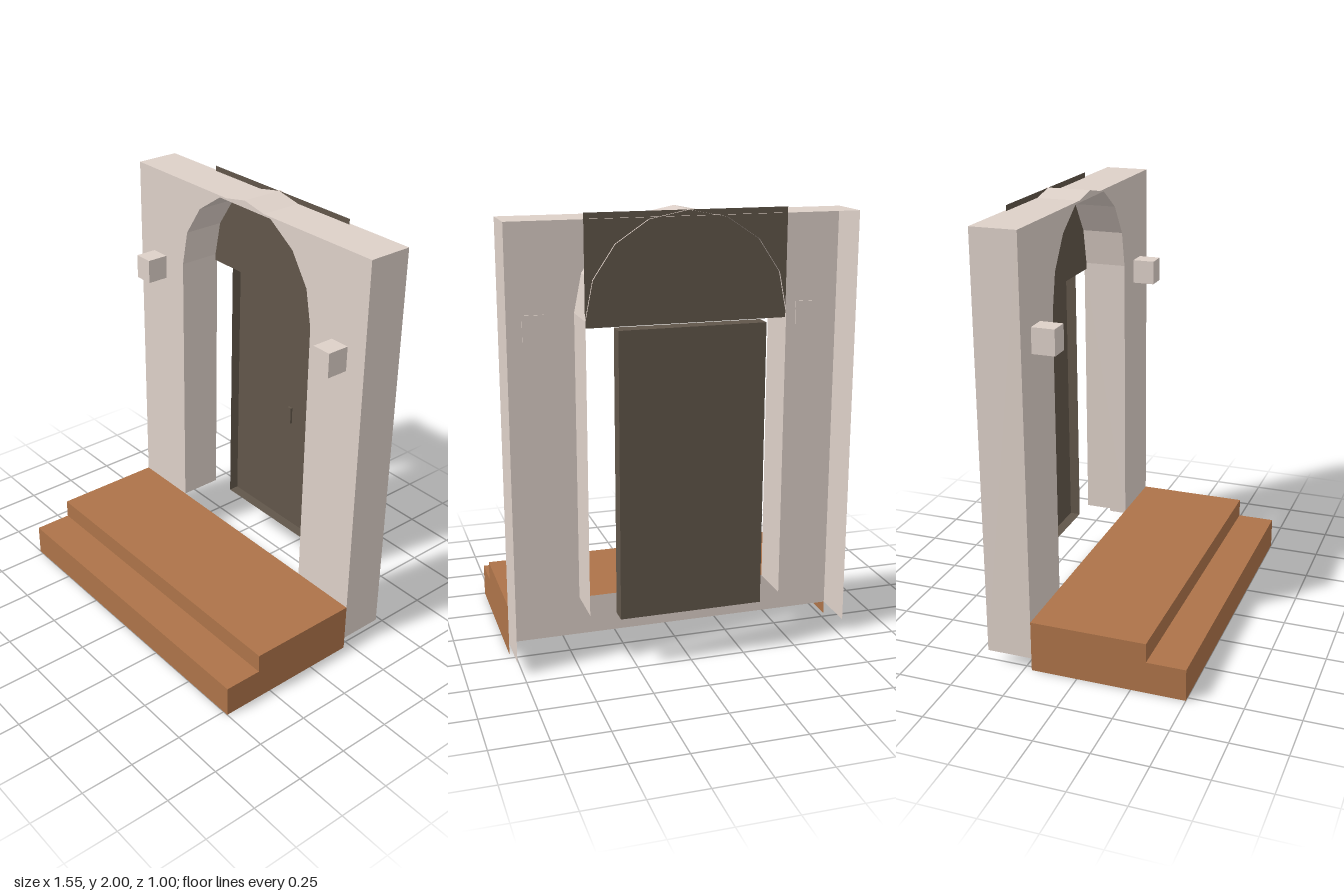
import * as THREE from 'three';

const material = (color) => new THREE.MeshStandardMaterial({ color, side: THREE.DoubleSide, flatShading: true });

// Open sheet running between two matching rows of points
function ruled(a, b) {
  const pos = [];
  for (let i = 0; i < a.length - 1; i++) {
    for (const p of [a[i], b[i], b[i + 1], a[i], b[i + 1], a[i + 1]]) pos.push(...p);
  }
  const geo = new THREE.BufferGeometry();
  geo.setAttribute('position', new THREE.Float32BufferAttribute(pos, 3));
  geo.computeVertexNormals();
  return geo;
}

// Sheet made by pushing an xy outline from z0 to z1
const alongZ = (pts, z0, z1) => ruled(pts.map(([x, y]) => [x, y, z0]), pts.map(([x, y]) => [x, y, z1]));

const toShape = (pts) => new THREE.Shape(pts.map(([x, y]) => new THREE.Vector2(x, y)));

export function createModel() {
  const model = new THREE.Group();
  const stone = material(0xddd0c8);
  const brick = material(0xad7349);
  const wood = material(0x61564a);

  const add = (parent, name, geo, mat, x = 0, y = 0, z = 0) => {
    const mesh = new THREE.Mesh(geo, mat);
    mesh.name = name;
    mesh.position.set(x, y, z);
    parent.add(mesh);
    return mesh;
  };
  const group = (name) => {
    const g = new THREE.Group();
    g.name = name;
    model.add(g);
    return g;
  };

  const W = 0.775, FRONT = -0.215, BACK = -0.425;
  const BASE = 0.06, TOP = 1.975, FLOOR = 0.24;

  // Arched opening: straight jambs and an eight-sided half circle
  const R = 0.445, SPRING = 1.555;
  const opening = [[R, FLOOR]];
  for (let i = 0; i <= 8; i++) {
    const a = (i * Math.PI) / 8;
    opening.push([R * Math.cos(a), SPRING + R * Math.sin(a)]);
  }
  opening.push([-R, FLOOR]);

  // Wall: front face with the opening, folded sides and top, open at the back
  const wall = group('wall');
  const face = toShape([[-W, BASE], [W, BASE], [W, TOP], [-W, TOP]]);
  const crown = opening.slice(4, 7);
  face.holes.push(new THREE.Path(opening.filter((p) => p !== crown[1]).map(([x, y]) => new THREE.Vector2(x, y))));
  add(wall, 'wallFace', new THREE.ShapeGeometry(face), stone, 0, 0, FRONT);
  add(wall, 'archCrown', new THREE.ShapeGeometry(toShape(crown)), stone, 0, 0, FRONT);
  add(wall, 'wallReturn', alongZ([[W, BASE], [W, TOP], [-W, TOP], [-W, BASE]], FRONT, BACK), stone);
  add(wall, 'archReveal', alongZ(opening, FRONT, BACK), stone);

  // Wall lamps
  for (const s of [1, -1]) {
    add(model, s > 0 ? 'leftLamp' : 'rightLamp', new THREE.BoxGeometry(0.095, 0.115, 0.11), stone, s * 0.625, 1.4975, -0.165);
  }

  // Panel filling the arch above the door
  add(model, 'archPanel', new THREE.PlaneGeometry(2 * R, 0.475), wood, 0, 1.7625, -0.415);

  // Door: panel at the back of a shallow frame
  const door = group('door');
  const D = 0.325, HEAD = 1.525;
  const frame = [[-D, FLOOR], [D, FLOOR], [D, HEAD], [-D, HEAD], [-D, FLOOR]];
  add(door, 'doorFrame', alongZ(frame, BACK, -0.5), wood);
  add(door, 'doorPanel', new THREE.BoxGeometry(2 * D, HEAD - FLOOR, 0.025), wood, 0, (HEAD + FLOOR) / 2, -0.4875);
  add(door, 'doorHandle', new THREE.BoxGeometry(0.023, 0.085, 0.012), wood, 0.068, 0.862, -0.47);

  // Steps: two hollow shells open underneath, profiles given as [z, y]
  const steps = group('steps');
  const profiles = {
    upperStep: [[FRONT, FLOOR], [0.32, FLOOR], [0.32, 0]],
    lowerStep: [[0.32, 0.15], [0.5, 0.15], [0.5, 0]],
  };
  for (const [name, pts] of Object.entries(profiles)) {
    add(steps, name, ruled(pts.map(([z, y]) => [-W, y, z]), pts.map(([z, y]) => [W, y, z])), brick);
    const side = toShape([...pts, [pts[0][0], 0]].map(([z, y]) => [-z, y]));
    for (const s of [1, -1]) {
      add(steps, name + 'Side', new THREE.ShapeGeometry(side).rotateY(Math.PI / 2), brick, s * W);
    }
  }

  return model;
}
